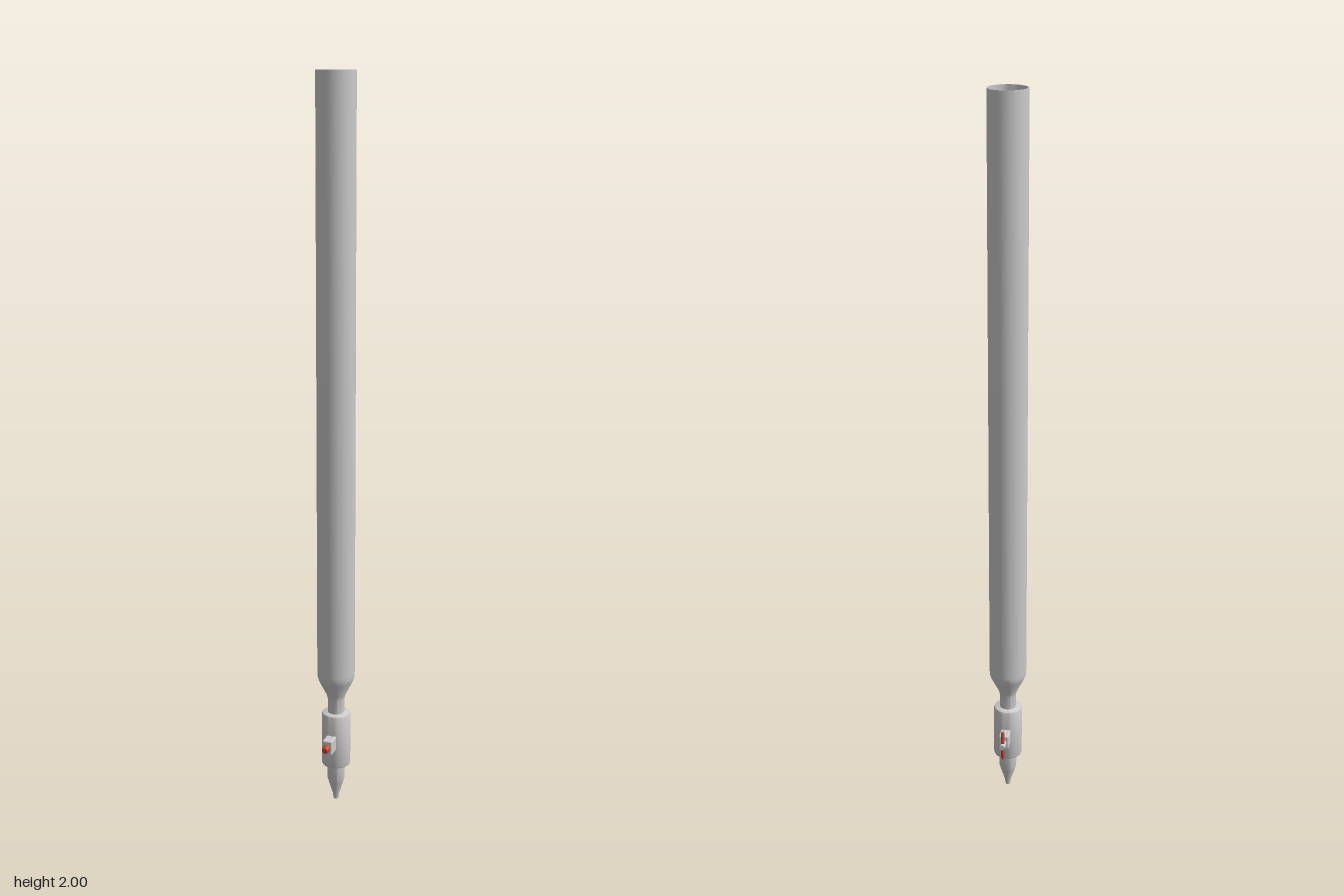
import * as THREE from 'three';
import { RoundedBoxGeometry } from 'three/addons/geometries/RoundedBoxGeometry.js';
import { toCreasedNormals } from 'three/addons/utils/BufferGeometryUtils.js';

const AXIS_Z = 0.003; // the tube sits slightly forward of centre
const COCK_Y = 0.187; // height of the stopcock axis

export function createModel() {
  const group = new THREE.Group();
  const grey = new THREE.MeshStandardMaterial({ color: 0xcccccc });
  const glass = new THREE.MeshStandardMaterial({ color: 0xcccccc, side: THREE.DoubleSide });
  const red = new THREE.MeshStandardMaterial({ color: 0xc8452f });

  function add(name, geometry, material, y = 0, z = 0) {
    const mesh = new THREE.Mesh(geometry, material);
    mesh.name = name;
    mesh.position.set(0, y, z);
    group.add(mesh);
    return mesh;
  }
  // Turned part from [radius, height] pairs, bottom to top on the outside
  function turned(points, segments = 32) {
    const profile = points.map(([r, h]) => new THREE.Vector2(r, h));
    return toCreasedNormals(new THREE.LatheGeometry(profile, segments), 0.5);
  }

  // Long open tube with a thin wall, tapering into the neck
  add('tube', turned([
    [0.023, 0.26], [0.023, 0.305], [0.026, 0.318], [0.047, 0.36], [0.051, 0.372], [0.052, 0.385],
    [0.052, 2], [0.049, 2], [0.049, 0.385], [0.045, 0.362], [0.024, 0.318], [0.021, 0.305], [0.021, 0.26],
  ]), glass, 0, AXIS_Z);

  // Valve body with softened rims
  add('valveBody', turned([
    [0, 0.108], [0.034, 0.108], [0.038, 0.110], [0.04, 0.115],
    [0.04, 0.260], [0.038, 0.265], [0.034, 0.267], [0, 0.267],
  ]), grey, 0, AXIS_Z);

  // Outlet nozzle
  add('nozzle', turned([
    [0, 0], [0.007, 0], [0.009, 0.015], [0.021, 0.054], [0.024, 0.064], [0.025, 0.112], [0, 0.112],
  ]), grey, 0, AXIS_Z);

  // Housing crossing the body from front to back
  add('valveHousing', new RoundedBoxGeometry(0.028, 0.042, 0.147, 2, 0.004), grey, COCK_Y, 0.0035);

  // Tapered retaining cap at the front
  const cap = add('retainingCap', turned([
    [0, 0], [0.011, 0], [0.0105, 0.006], [0.009, 0.017], [0.0075, 0.019], [0, 0.019],
  ], 24), red, COCK_Y, 0.076);
  cap.rotation.x = Math.PI / 2;

  // Valve stem at the back
  const stem = add('valveStem', new THREE.CylinderGeometry(0.008, 0.008, 0.03, 24), grey, COCK_Y, -0.082);
  stem.rotation.x = Math.PI / 2;

  // Turning handle, two slim tapered wings
  add('turningHandle', turned([
    [0, -0.046], [0.003, -0.045], [0.0055, -0.035], [0.0045, 0],
    [0.0055, 0.035], [0.003, 0.045], [0, 0.046],
  ], 16), red, COCK_Y, -0.084);

  return group;
}
